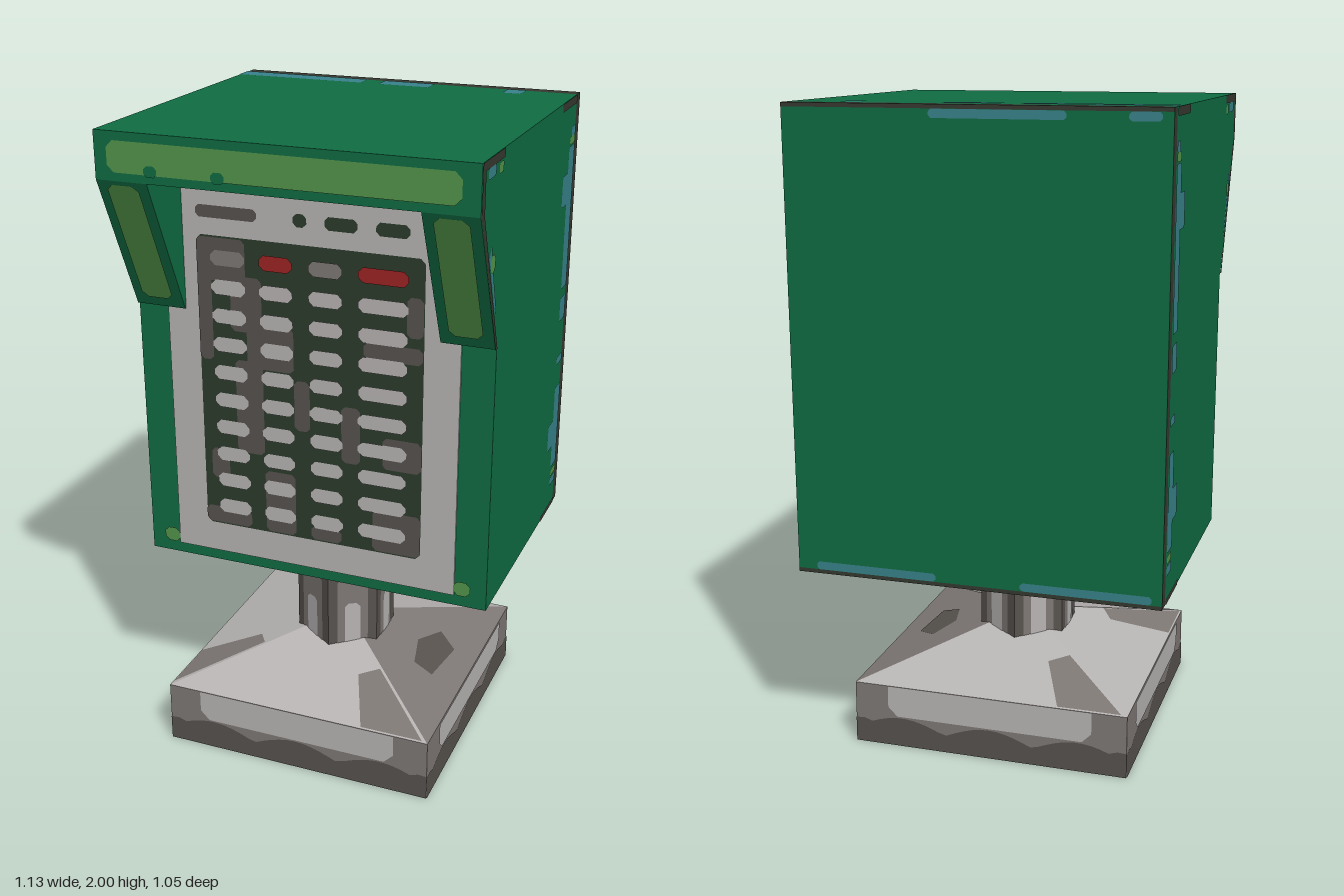
import * as THREE from 'three';

const mat = (name, color) => Object.assign(new THREE.MeshStandardMaterial({ color }), { name });
const M = {
  green: mat('cabinet green', 0x0f6c42),
  lime: mat('worn light green', 0x52954a),
  teal: mat('worn teal', 0x38828a),
  edge: mat('dark edge', 0x35382f),
  grille: mat('grille dark green', 0x2d3b2d),
  light: mat('light grey', 0xb8b4b4),
  mid: mat('mid grey', 0x7e7875),
  dark: mat('dark grey', 0x57524e),
  red: mat('button red', 0x9c2224),
};

// Adds a named mesh to a parent
function add(parent, name, geo, material, x = 0, y = 0, z = 0) {
  const m = new THREE.Mesh(geo, material);
  m.name = name;
  m.position.set(x, y, z);
  parent.add(m);
  return m;
}

const polygon = pts => new THREE.ShapeGeometry(new THREE.Shape(pts.map(p => new THREE.Vector2(...p))));

// Flat rectangle with cut corners, centred on its origin
function chip(w, h, c = Math.min(w, h) * 0.3) {
  const a = w / 2, b = h / 2;
  return polygon([[-a + c, -b], [a - c, -b], [a, -b + c], [a, b - c], [a - c, b], [-a + c, b], [-a, b - c], [-a, -b + c]]);
}

// Chip facing +z, given by its limits
function front(parent, name, material, x0, x1, y0, y1, z, c) {
  return add(parent, name, chip(x1 - x0, y1 - y0, c), material, (x0 + x1) / 2, (y0 + y1) / 2, z);
}

// Extrudes a (z, y) profile along x between x0 and x1
function alongX(pts, x0, x1) {
  const shape = new THREE.Shape(pts.map(([z, y]) => new THREE.Vector2(-z, y)));
  return new THREE.ExtrudeGeometry(shape, { depth: x1 - x0, bevelEnabled: false })
    .rotateY(Math.PI / 2).translate(x0, 0, 0);
}

function makeBase() {
  const g = new THREE.Group();
  g.name = 'base';
  g.position.z = 0.04;
  const R = 0.44, H = 0.2, apex = 0.34;
  add(g, 'baseSlab', new THREE.BoxGeometry(2 * R, H, 2 * R), [M.mid, M.mid, M.mid, M.dark, M.mid, M.mid], 0, H / 2, 0);

  // Scalloped grime along the bottom of each side
  const grime = [[-R, 0], [R, 0]];
  for (let i = 0; i <= 32; i++) {
    const x = R - (i / 32) * 2 * R;
    grime.push([x, 0.055 + 0.04 * Math.abs(Math.cos(x * 11)) + (Math.abs(x) > 0.4 ? 0.02 : 0)]);
  }
  const slope = Math.atan2(apex - H, R), len = Math.hypot(apex - H, R);
  for (let i = 0; i < 4; i++) {
    const side = new THREE.Group();
    side.name = 'baseSide';
    side.rotation.y = i * Math.PI / 2;
    g.add(side);
    add(side, 'baseGrime', polygon(grime), M.dark, 0, 0, R + 0.002);
    add(side, 'baseHighlight', polygon([[-0.3, 0.1], [0.3, 0.1], [0.33, 0.13], [0.33, 0.199], [-0.33, 0.199], [-0.33, 0.13]]), M.light, 0, 0, R + 0.003);
    // Sloping top, one triangle per side
    const top = add(side, 'baseTop', polygon([[-R, 0], [R, 0], [0, len]]), i === 1 ? M.mid : M.light, 0, H, R);
    top.rotation.x = slope - Math.PI / 2;
    // Worn patches on the slope
    const patch = new THREE.Group();
    patch.name = 'baseTopWear';
    patch.position.set(0, H + 0.002, R);
    patch.rotation.x = top.rotation.x;
    side.add(patch);
    if (i === 1) add(patch, 'baseStain', polygon([[-0.12, 0.1], [0.06, 0.08], [0.12, 0.15], [0.02, 0.2], [-0.1, 0.17]]), M.dark);
    else add(patch, 'baseStain', polygon([[0.22, 0.005], [0.42, 0.005], [0.2, 0.24], [0.14, 0.2]]), M.mid);
  }

  // Six-sided post with a worn arch on each face
  add(g, 'post', new THREE.CylinderGeometry(0.16, 0.16, 0.36, 6).toNonIndexed(), M.dark, 0, 0.43, 0).geometry.computeVertexNormals();
  for (let i = 0; i < 6; i++) {
    const face = new THREE.Group();
    face.name = 'postFace';
    face.rotation.y = (i + 0.5) * Math.PI / 3;
    g.add(face);
    front(face, 'postWear', M.mid, -0.05, 0.05, 0.27, 0.54, 0.1405, 0.025);
    front(face, 'postHighlight', M.light, -0.025, 0.025, 0.27, 0.44, 0.142, 0.012);
  }
  return g;
}

function makeCabinet() {
  const g = new THREE.Group();
  g.name = 'cabinet';
  const W = 0.56, y0 = 0.605, h = 2 - y0, yc = y0 + h / 2;
  add(g, 'cabinetBody', new THREE.BoxGeometry(2 * W, h, 0.8), M.green, 0, yc, -0.08);
  add(g, 'backSlab', new THREE.BoxGeometry(2 * W, h, 0.04), [M.edge, M.edge, M.edge, M.edge, M.green, M.green], 0, yc, -0.5);

  // Hood over the panel
  add(g, 'hoodTop', alongX([[0.32, 1.82], [0.52, 1.86], [0.52, 2], [0.32, 2]], -W, W), M.green);
  front(g, 'hoodTrim', M.lime, -0.52, 0.51, 1.885, 1.975, 0.523, 0.02);
  for (const x of [-0.385, -0.18]) front(g, 'hoodTrimNotch', M.green, x - 0.02, x + 0.02, 1.88, 1.912, 0.525);

  // Matching details on both sides: [z0, z1, y0, y1, colour]
  const marks = [
    [-0.478, -0.41, 1.39, 1.85, M.teal], [-0.478, -0.41, 1.28, 1.36, M.teal],
    [-0.478, -0.41, 1.13, 1.157, M.teal], [-0.478, -0.41, 0.76, 1.05, M.teal],
    [-0.478, -0.41, 0.69, 0.72, M.teal], [-0.478, -0.43, 1.88, 1.91, M.teal],
    [-0.42, -0.35, 1.67, 1.77, M.teal], [-0.42, -0.35, 0.84, 0.935, M.teal],
    [-0.478, -0.415, 1.855, 1.88, M.lime], [-0.478, -0.415, 0.725, 0.75, M.lime],
    [0.4, 0.47, 1.945, 1.975, M.teal], [0.33, 0.37, 1.94, 1.97, M.lime],
    [-0.48, -0.3, 1.975, 2, M.edge], [-0.48, -0.3, 0.605, 0.622, M.edge],
  ];
  const strips = [
    [[[0.52, 2], [0.52, 1.86], [0.338, 1.44], [0.32, 1.44], [0.492, 1.855], [0.492, 1.975], [0.32, 1.975], [0.32, 2]], M.edge],
    [[[0.415, 1.76], [0.435, 1.73], [0.36, 1.55], [0.35, 1.56], [0.385, 1.66]], M.teal],
  ];
  const tilt = Math.atan2(0.19, 0.42);
  for (const s of [-1, 1]) {
    const cheek = [[0.32, 1.44], [0.33, 1.44], [0.52, 1.86], [0.32, 1.86]];
    add(g, 'hoodCheek', alongX(cheek, s > 0 ? 0.4 : -W, s > 0 ? W : -0.4), M.green);
    add(g, 'cheekTrim', chip(0.1, 0.415, 0.018), M.lime, s * 0.48, 1.659, 0.4325).rotation.x = tilt;
    front(g, 'cornerWear', M.lime, s * 0.485 - 0.027, s * 0.485 + 0.027, 0.643, 0.69, 0.327);

    const wear = new THREE.Group();
    wear.name = 'sideWear';
    wear.position.x = s * (W + 0.002);
    wear.rotation.y = s * Math.PI / 2;
    g.add(wear);
    for (const [za, zb, ya, yb, m] of marks)
      add(wear, 'sideMark', chip(zb - za, yb - ya, 0.006), m, -s * (za + zb) / 2, (ya + yb) / 2, 0);
    for (const [pts, m] of strips) add(wear, 'sideEdge', polygon(pts.map(([z, y]) => [-s * z, y])), m);
    add(wear, 'sideMark', chip(0.045, 0.05), M.lime, -s * 0.4, 1.705, 0.001);
  }

  // Worn patches beside the back edge, on top, underneath and behind
  for (const [a, b] of [[-0.56, -0.13], [-0.07, 0.1], [0.34, 0.4]]) {
    add(g, 'topWear', chip(b - a, 0.065, 0.005), M.teal, (a + b) / 2, 2.0015, -0.446).rotation.x = -Math.PI / 2;
    add(g, 'bottomWear', chip(b - a, 0.04, 0.005), M.teal, (a + b) / 2, y0 - 0.002, -0.458).rotation.x = Math.PI / 2;
  }
  for (const [a, b, y] of [[-0.53, -0.44, 1.975], [-0.27, 0.12, 1.975], [-0.53, -0.14, 0.63], [0.12, 0.5, 0.63]])
    add(g, 'backWear', chip(b - a, 0.025), M.teal, (a + b) / 2, y, -0.522).rotation.y = Math.PI;
  for (const y of [1.994, 0.611])
    add(g, 'backEdge', new THREE.PlaneGeometry(2 * W, 0.012), M.edge, 0, y, -0.5215).rotation.y = Math.PI;
  return g;
}

function makePanel() {
  const g = new THREE.Group();
  g.name = 'panel';
  add(g, 'panelPlate', new THREE.BoxGeometry(0.92, 1.18, 0.008), M.light, 0, 1.23, 0.321);
  front(g, 'grille', M.grille, -0.355, 0.352, 0.74, 1.675, 0.328, 0.015);

  // Worn patches on the grille
  const patches = [
    [-0.355, -0.2, 1.54, 1.67], [-0.355, -0.31, 1.29, 1.56], [-0.25, -0.15, 1.39, 1.56],
    [-0.2, -0.05, 1.28, 1.42], [-0.24, -0.15, 1.0, 1.3], [-0.05, 0.0, 1.1, 1.26],
    [0.17, 0.35, 1.36, 1.41], [0.1, 0.16, 1.02, 1.2], [0.23, 0.35, 1.02, 1.12],
    [0.2, 0.352, 0.745, 0.88], [-0.355, -0.2, 0.745, 0.8], [-0.15, -0.05, 0.745, 0.95],
    [0.0, 0.1, 0.745, 0.79], [-0.33, -0.27, 0.9, 1.0], [0.3, 0.35, 1.44, 1.56],
  ];
  for (const [a, b, c, d] of patches) front(g, 'grilleWear', M.dark, a, b, c, d, 0.33, 0.012);

  // Ten rows of four buttons, the top row coloured
  const columns = [[-0.31, -0.2], [-0.155, -0.05], [0, 0.105], [0.153, 0.305]];
  for (let r = 0; r < 10; r++) {
    const y = 1.61 - r * 0.0892;
    columns.forEach(([a, b], c) =>
      front(g, 'button', r ? M.light : c % 2 ? M.red : M.mid, a, b, y - 0.023, y + 0.023, 0.332, 0.015));
  }

  // Slots above the grille
  front(g, 'displaySlot', M.dark, -0.355, -0.16, 1.727, 1.764, 0.328);
  for (const [a, b] of [[-0.047, -0.005], [0.05, 0.15], [0.205, 0.305]])
    front(g, 'slot', M.grille, a, b, 1.726, 1.765, 0.328);
  return g;
}

export function createModel() {
  const model = new THREE.Group();
  model.name = 'controlTerminal';
  model.add(makeBase(), makeCabinet(), makePanel());
  return model;
}
